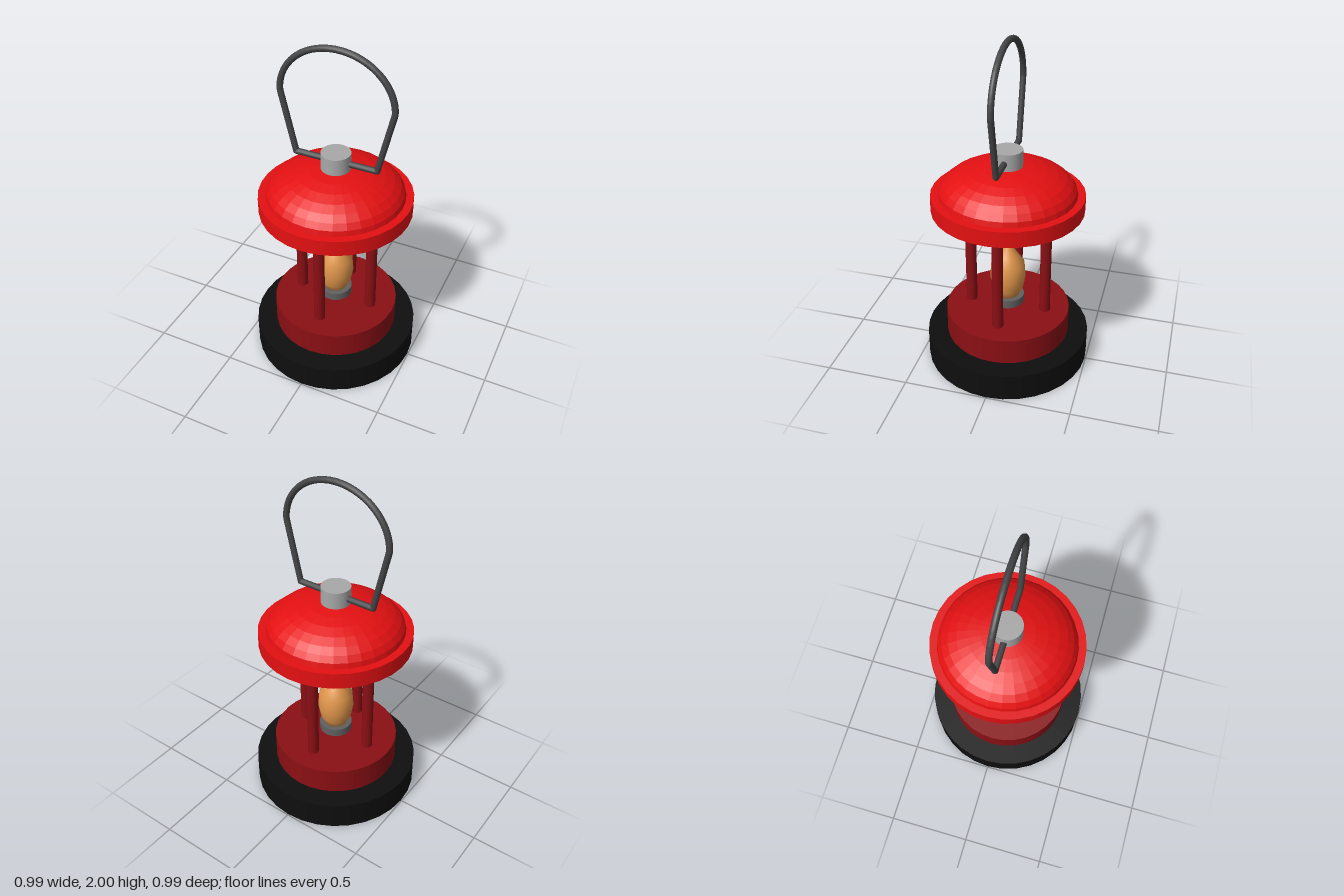
import * as THREE from 'three';

const SIDES = 32;

function part(name, geometry, color, y = 0, options = {}) {
  const mesh = new THREE.Mesh(geometry, new THREE.MeshStandardMaterial({ color, ...options }));
  mesh.name = name;
  mesh.position.y = y;
  return mesh;
}

// Upright cylinder given by its bottom and top heights
function drum(name, radius, bottom, top, color, sides = SIDES) {
  const geometry = new THREE.CylinderGeometry(radius, radius, top - bottom, sides);
  return part(name, geometry, color, (bottom + top) / 2);
}

// Wire handle: two slanted sides, an elliptical arch and a straight bar below
function createHandle(color) {
  const handle = new THREE.Group();
  handle.name = 'handle';
  const wire = 0.018, foot = 0.245, footY = 1.32, shoulderY = 1.69;

  const points = [new THREE.Vector3(foot, footY, 0)];
  for (let i = 0; i <= 24; i++) {
    const a = (i / 24) * Math.PI;
    points.push(new THREE.Vector3(0.332 * Math.cos(a), shoulderY + 0.292 * Math.sin(a), 0));
  }
  points.push(new THREE.Vector3(-foot, footY, 0));
  const path = new THREE.CurvePath();
  for (let i = 1; i < points.length; i++) path.add(new THREE.LineCurve3(points[i - 1], points[i]));
  handle.add(part('handleArch', new THREE.TubeGeometry(path, 90, wire, 12), color));

  const bar = part('handleBar', new THREE.CylinderGeometry(wire, wire, foot * 2, 12), color, footY);
  bar.rotation.z = Math.PI / 2;
  handle.add(bar);
  for (const side of [-1, 1]) {
    const corner = part('handleCorner', new THREE.SphereGeometry(wire, 12, 8), color, footY);
    corner.position.x = side * foot;
    handle.add(corner);
  }
  return handle;
}

export function createModel() {
  const model = new THREE.Group();
  model.name = 'lantern';
  const black = 0x0e0e0e, darkRed = 0x8a0f14, red = 0xe41012;

  // Stacked foot and body
  model.add(drum('base', 0.495, 0, 0.17, black));
  model.add(drum('body', 0.375, 0.17, 0.33, darkRed));

  // Four posts carrying the lid
  for (let i = 0; i < 4; i++) {
    const a = (i * Math.PI) / 2;
    const post = drum('post', 0.033, 0.33, 1.01, darkRed, 16);
    post.position.x = 0.231 * Math.cos(a);
    post.position.z = 0.231 * Math.sin(a);
    model.add(post);
  }

  // Burner and flame
  model.add(drum('burner', 0.098, 0.36, 0.41, 0x606060));
  const profile = [
    [0, 0.4], [0.065, 0.405], [0.092, 0.46], [0.107, 0.54], [0.1, 0.63],
    [0.06, 0.69], [0.035, 0.73], [0, 0.8],
  ].map(([r, y]) => new THREE.Vector2(r, y));
  model.add(part('flame', new THREE.LatheGeometry(profile, SIDES), 0xe0964b));

  // Lid: flat rim under a flattened dome, topped by a cap
  model.add(drum('lidRim', 0.443, 1.01, 1.105, red));
  const dome = new THREE.SphereGeometry(0.4, SIDES, 8, 0, Math.PI * 2, 0, Math.PI / 2);
  dome.scale(1, 0.45, 1);
  model.add(part('dome', dome, red, 1.1, { flatShading: true }));
  model.add(drum('cap', 0.085, 1.27, 1.375, 0xa8a8a8));

  model.add(createHandle(0x444446));
  return model;
}
